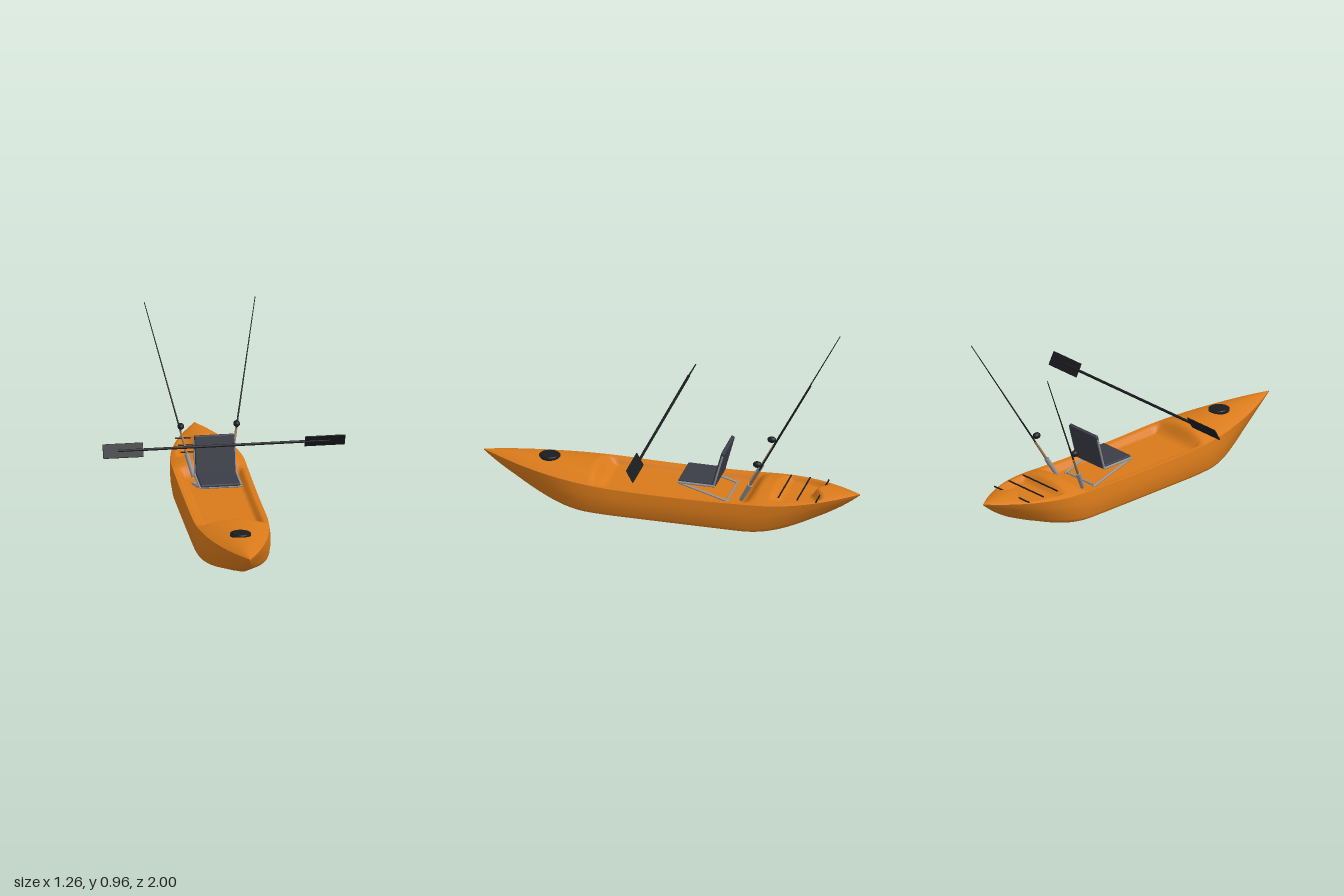
import * as THREE from 'three';
import { RoundedBoxGeometry } from 'three/addons/geometries/RoundedBoxGeometry.js';

const mat = (color, side = THREE.FrontSide) => new THREE.MeshStandardMaterial({ color, side });
const { clamp, lerp } = THREE.MathUtils;
const V = (x, y, z) => new THREE.Vector3(x, y, z);
// smooth 0..1 ramp from a to b (a may exceed b)
const ramp = (v, a, b) => { const t = clamp((v - a) / (b - a), 0, 1); return t * t * (3 - 2 * t); };

// Hull lines along z
const halfWidth = z => {
  const t = z > 0 ? clamp((z - 0.25) / 0.75, 0, 1) : clamp((-z - 0.5) / 0.5, 0, 1);
  return Math.max(0.002, 0.2 * (1 - t * t));
};
const keelY = z => 0.21 * clamp((Math.abs(z) - 0.4) / 0.6, 0, 1) ** 2.5;
const sheerY = z => 0.165 + 0.05 * z * z;

// Deck surface: crowned ends, sunken cockpit and rear cargo well
function deckY(x, z, u) {
  const a = Math.abs(z), ax = Math.abs(x);
  const ends = z > 0 ? ramp(z, 0.345, 0.41) : ramp(z, -0.42, -0.49);
  const crown = 0.04 * ends * (1 - clamp((a - 0.42) / 0.58, 0, 1) ** 3);
  let y = sheerY(z) + crown * (1 - u * u);
  const cockpit = ramp(z, 0.39, 0.32) * ramp(z, -0.46, -0.39) * ramp(ax, 0.168, 0.135);
  y = lerp(y, 0.138, cockpit);
  const back = -0.83 + 0.045 * Math.exp(-((x / 0.05) ** 2));
  const well = ramp(z, -0.55, -0.61) * ramp(z, back, back + 0.05) * ramp(Math.abs(u), 0.86, 0.68);
  return lerp(y, 0.172, well);
}

// Skin a list of equal-length point rows
function loft(rows) {
  const n = rows[0].length, index = [];
  for (let i = 0; i < rows.length - 1; i++)
    for (let j = 0; j < n - 1; j++) {
      const a = i * n + j, b = a + n;
      index.push(a, b, a + 1, b, b + 1, a + 1);
    }
  const g = new THREE.BufferGeometry();
  g.setAttribute('position', new THREE.Float32BufferAttribute(rows.flat(2), 3));
  g.setIndex(index);
  g.computeVertexNormals();
  return g;
}

// Half sections (width fraction, height fraction) at midship and at the tips
const MID = [[0.96, 1], [1, 0.7], [1, 0.45], [0.97, 0.2], [0.94, 0.11], [0.9, 0.08], [0.5, 0.035], [0, 0]];
const END = [[0.96, 1], [0.86, 0.8], [0.72, 0.62], [0.52, 0.4], [0.4, 0.28], [0.3, 0.2], [0.13, 0.07], [0, 0]];

export function createModel() {
  const model = new THREE.Group();
  const orange = mat(0xd97a1a, THREE.DoubleSide), black = mat(0x1a1c1f), fabric = mat(0x3b3d47);
  const metal = mat(0x8f9296), cork = mat(0x9a7350);

  const add = (name, geo, m, parent = model) => {
    const mesh = new THREE.Mesh(geo, m);
    mesh.name = name;
    parent.add(mesh);
    return mesh;
  };
  const group = name => {
    const g = new THREE.Group();
    g.name = name;
    model.add(g);
    return g;
  };
  // round bar between two points
  const bar = (name, a, b, r0, r1, m, parent) => {
    const mesh = add(name, new THREE.CylinderGeometry(r1, r0, a.distanceTo(b), 14), m, parent);
    mesh.position.lerpVectors(a, b, 0.5);
    mesh.quaternion.setFromUnitVectors(V(0, 1, 0), b.clone().sub(a).normalize());
    return mesh;
  };

  // Hull and deck
  const hullRows = [], deckRows = [], N = 200, M = 48;
  for (let i = 0; i <= N; i++) {
    const z = -1 + (2 * i) / N, w = halfWidth(z), k = keelY(z), s = sheerY(z);
    const e = ramp(Math.abs(z), 0.4, 1);
    const half = MID.map(([x, y], j) =>
      [w * lerp(x, END[j][0], e), lerp(k, s, lerp(y, END[j][1], e)), z]);
    hullRows.push([...half, ...half.slice(0, -1).reverse().map(([x, y]) => [-x, y, z])]);
    const row = [];
    for (let j = 0; j <= M; j++) {
      const u = -1 + (2 * j) / M, x = 0.96 * w * u;
      row.push([x, deckY(x, z, u), z]);
    }
    deckRows.push(row);
  }
  add('hull', loft(hullRows), orange);
  add('deck', loft(deckRows), orange);

  // Bow hatch
  const hatch = group('hatch');
  hatch.position.set(0, 0.221, 0.65);
  add('hatchRim', new THREE.CylinderGeometry(0.055, 0.055, 0.012, 40), black, hatch);
  add('hatchLid', new THREE.CylinderGeometry(0.042, 0.046, 0.006, 40), black, hatch).position.y = 0.007;

  // Cargo cords over the rear well
  for (const z of [-0.6, -0.7, -0.8])
    bar('cargoCord', V(-0.13, 0.208, z), V(0.13, 0.208, z), 0.004, 0.004, black);

  // Seat with tube frame
  const seat = group('seat');
  add('seatCushion', new RoundedBoxGeometry(0.205, 0.016, 0.2, 3, 0.006), fabric, seat)
    .position.set(0, 0.22, -0.16);
  const back = add('backrest', new RoundedBoxGeometry(0.207, 0.2, 0.02, 3, 0.007), fabric, seat);
  back.position.set(0, 0.315, -0.274);
  back.rotation.x = -0.26;
  for (const s of [-1, 1]) {
    const x = s * 0.108;
    bar('seatRail', V(x, 0.216, -0.065), V(x, 0.216, -0.255), 0.006, 0.006, metal, seat);
    bar('seatLeg', V(x, 0.214, -0.065), V(x, 0.138, -0.33), 0.006, 0.006, metal, seat);
    bar('backrestTube', V(x * 0.97, 0.216, -0.25), V(x * 0.97, 0.39, -0.296), 0.005, 0.005, metal, seat);
  }
  bar('frontCrossTube', V(-0.108, 0.212, -0.065), V(0.108, 0.212, -0.065), 0.006, 0.006, metal, seat);
  bar('rearCrossTube', V(-0.108, 0.142, -0.32), V(0.108, 0.142, -0.32), 0.006, 0.006, metal, seat);

  // Fishing rods in their holders
  for (const s of [-1, 1]) {
    const rod = group(s > 0 ? 'leftFishingRod' : 'rightFishingRod');
    const at = t => V(s * 0.094, 0.15, -0.392).lerp(V(s * 0.288, 0.96, -0.818), t);
    bar('rodHolder', at(0), at(0.13), 0.01, 0.013, metal, rod);
    bar('rodGrip', at(0.1), at(0.26), 0.007, 0.006, cork, rod);
    bar('rodBlank', at(0.25), at(1), 0.0045, 0.002, black, rod);
    const reel = add('reel', new THREE.SphereGeometry(0.017, 20, 14), black, rod);
    reel.scale.z = 1.35;
    reel.position.set(s * 0.145, 0.392, -0.492);
    bar('reelFoot', V(s * 0.145, 0.392, -0.492), at(0.29), 0.004, 0.004, black, rod);
  }

  // Double paddle with feathered blades
  const paddle = group('paddle');
  paddle.position.set(0, 0.487, 0.058);
  bar('paddleShaft', V(-0.55, 0, 0), V(0.55, 0, 0), 0.007, 0.007, black, paddle);
  for (const s of [-1, 1]) {
    const blade = add('paddleBlade', new RoundedBoxGeometry(0.21, 0.076, 0.006, 2, 0.0028), black, paddle);
    blade.position.x = s * 0.524;
    blade.rotation.x = s * 0.5;
  }
  return model;
}
